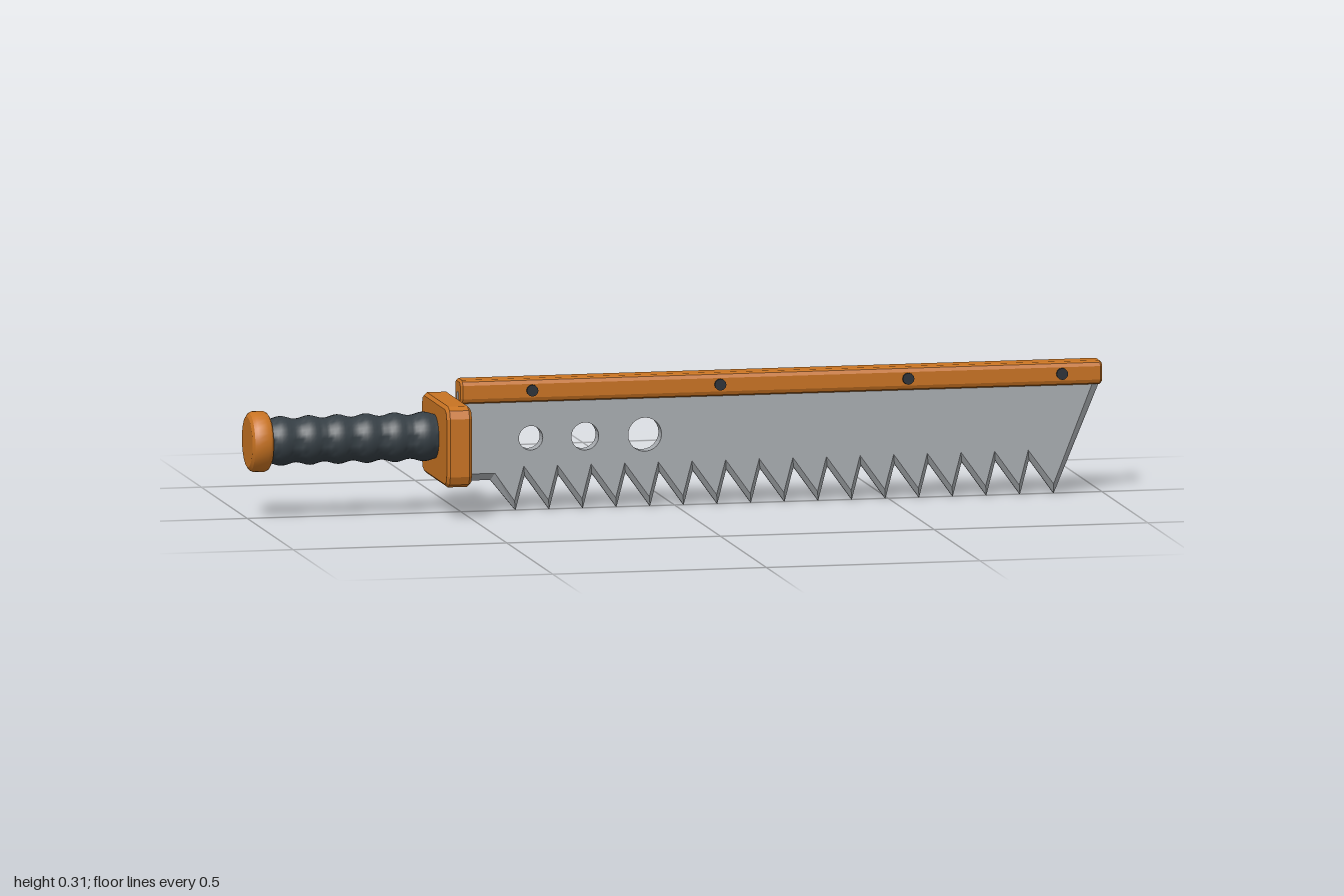
import * as THREE from 'three';
import { toCreasedNormals } from 'three/addons/utils/BufferGeometryUtils.js';

const paint = (name, color) => {
  const m = new THREE.MeshStandardMaterial({ color });
  m.name = name;
  return m;
};

// Bar running along x from x0 to x1, with cut corners and a small end bevel
function barGeometry(x0, x1, height, depth, corner, bevel) {
  const w = depth / 2 - bevel, h = height / 2 - bevel, c = corner, k = corner * 0.3;
  const s = new THREE.Shape();
  const quarter = [[w - c, h], [w - k, h - k], [w, h - c]];
  const pts = [];
  for (const [sx, sy] of [[1, 1], [1, -1], [-1, -1], [-1, 1]]) {
    const q = quarter.map(([x, y]) => new THREE.Vector2(x * sx, y * sy));
    pts.push(...(sx * sy > 0 ? q : q.reverse()));
  }
  s.setFromPoints(pts);
  const g = new THREE.ExtrudeGeometry(s, {
    depth: x1 - x0 - 2 * bevel, bevelThickness: bevel, bevelSize: bevel, bevelSegments: 1,
  });
  g.rotateY(Math.PI / 2);
  g.translate(x0 + bevel, 0, 0);
  return g;
}

// Saw blade outline with slanted teeth and round holes
function bladeGeometry() {
  const bevel = 0.017, core = 0.008, teeth = 17, first = -0.373, pitch = 0.0787;
  const s = new THREE.Shape();
  s.moveTo(-0.51, 0.28);
  s.lineTo(-0.51, 0.074);
  s.lineTo(-0.432, 0.074);
  for (let i = 0; i < teeth; i++) {
    const x = first + i * pitch;
    s.lineTo(x, 0.002);
    if (i < teeth - 1) s.lineTo(x + 0.021, 0.082);
  }
  s.lineTo(0.995, 0.262);
  s.lineTo(0.985, 0.28);
  const holes = [[-0.34, 0.028], [-0.213, 0.032], [-0.073, 0.039]];
  for (const [x, r] of holes) s.holes.push(new THREE.Path().absarc(x, 0.17, r, 0, Math.PI * 2, true));
  const g = new THREE.ExtrudeGeometry(s, {
    depth: core, bevelThickness: bevel - core / 2, bevelSize: bevel, bevelOffset: -bevel,
    bevelSegments: 1, curveSegments: 12,
  });
  g.translate(0, 0, -core / 2);
  // Straighten the hole walls
  const p = g.attributes.position;
  for (let i = 0; i < p.count; i++) {
    for (const [x, r] of holes) {
      const dx = p.getX(i) - x, dy = p.getY(i) - 0.17, d = Math.hypot(dx, dy);
      if (d < 0.062) p.setXY(i, x + dx * r / d, 0.17 + dy * r / d);
    }
  }
  g.computeVertexNormals();
  return g;
}

// Turned part along x from [x, radius] points
function turned(points, crease) {
  const g = new THREE.LatheGeometry(points.map(([x, r]) => new THREE.Vector2(r, x)), 32);
  g.rotateZ(-Math.PI / 2);
  return toCreasedNormals(g, crease);
}

export function createModel() {
  const group = new THREE.Group();
  const orange = paint('orange', 0xc87322);
  const steel = paint('steel', 0xa9adb1);
  const grip = paint('darkGrip', 0x363f45);
  const dark = paint('darkMetal', 0x2c3238);
  const add = (name, geometry, material, x = 0, y = 0, z = 0) => {
    const m = new THREE.Mesh(geometry, material);
    m.name = name;
    m.position.set(x, y, z);
    group.add(m);
    return m;
  };

  add('blade', bladeGeometry(), steel);
  add('spine', barGeometry(-0.507, 0.995, 0.055, 0.062, 0.008, 0.005), orange, 0, 0.2815);
  add('guard', barGeometry(-0.562, -0.503, 0.187, 0.283, 0.021, 0.007), orange, 0, 0.17);

  // Rivets pass through the spine
  const rivet = new THREE.CylinderGeometry(0.0135, 0.0135, 0.074, 12).rotateX(Math.PI / 2);
  for (const x of [-0.34, 0.1, 0.54, 0.9]) add('rivet', rivet, dark, x, 0.282);

  // Rippled grip
  const ripples = [], waves = 6, steps = 48;
  for (let i = 0; i <= steps; i++) {
    const t = i / steps;
    ripples.push([-0.955 + t * 0.4, 0.0535 - 0.0035 * Math.cos(t * waves * Math.PI * 2)]);
  }
  add('grip', turned(ripples, 1), grip, 0, 0.179);

  // Pommel disc with softened rims
  add('pommel', turned([
    [-1, 0], [-1, 0.058], [-0.995, 0.066], [-0.987, 0.07],
    [-0.963, 0.07], [-0.955, 0.066], [-0.95, 0.058], [-0.95, 0],
  ], 0.5), orange, 0, 0.179);

  return group;
}
